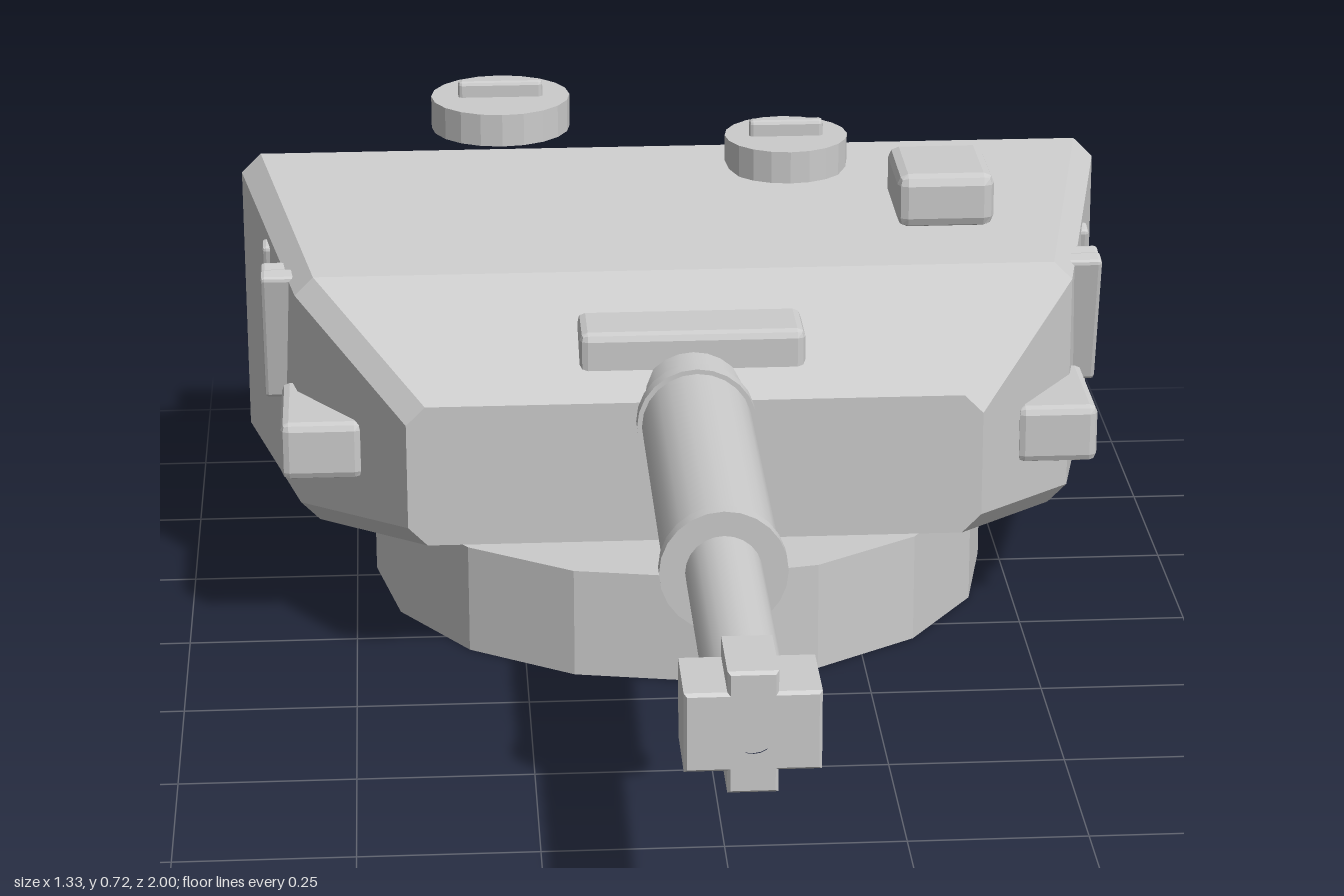
import * as THREE from 'three';
import { RoundedBoxGeometry } from 'three/addons/geometries/RoundedBoxGeometry.js';

const flat = new THREE.MeshStandardMaterial({ color: 0xcccccc, flatShading: true });
const smooth = new THREE.MeshStandardMaterial({ color: 0xcccccc });

// Chamfered octagonal cross-sections lofted from front to back
function loftHull(stations) {
  const pos = [], idx = [], n = 8;
  for (const [z, w, yb, yt, c] of stations) {
    const i = w - c;
    const ring = [[i, yt], [-i, yt], [-w, yt - c], [-w, yb + c], [-i, yb], [i, yb], [w, yb + c], [w, yt - c]];
    for (const [x, y] of ring) pos.push(x, y, z);
  }
  const last = (stations.length - 1) * n;
  for (let s = 0; s < last; s += n) {
    for (let j = 0; j < n; j++) {
      const k = (j + 1) % n;
      idx.push(s + j, s + n + j, s + n + k, s + j, s + n + k, s + k);
    }
  }
  for (let j = 1; j < n - 1; j++) idx.push(0, j, j + 1, last, last + j + 1, last + j);
  const g = new THREE.BufferGeometry();
  g.setAttribute('position', new THREE.Float32BufferAttribute(pos, 3));
  g.setIndex(idx);
  const out = g.toNonIndexed();
  out.computeVertexNormals();
  return out;
}

export function createModel() {
  const model = new THREE.Group();

  function add(name, geometry, x, y, z, material = flat) {
    const mesh = new THREE.Mesh(geometry, material);
    mesh.name = name;
    mesh.position.set(x, y, z);
    model.add(mesh);
    return mesh;
  }
  const block = (name, w, h, d, x, y, z, bevel = 0.012) =>
    add(name, new RoundedBoxGeometry(w, h, d, 1, bevel), x, y, z);

  // Turret ring and armoured shell
  add('turretRing', new THREE.CylinderGeometry(0.47, 0.47, 0.165, 16), 0, 0.0825, -0.53);
  add('turretShell', loftHull([
    // z, half width, bottom, top, chamfer
    [-0.11, 0.42, 0.205, 0.42, 0.028],
    [-0.35, 0.58, 0.155, 0.54, 0.028],
    [-0.755, 0.665, 0.132, 0.606, 0.03],
    [-0.95, 0.525, 0.158, 0.525, 0.03],
    [-0.997, 0.49, 0.165, 0.503, 0.03],
  ]), 0, 0, 0);
  block('rearStowageBox', 1.14, 0.265, 0.118, 0, 0.388, -0.932, 0.015);

  // Gun: stepped tube of revolution along z
  const gunY = 0.395;
  const profile = [
    [0, -0.2], [0.08, -0.2], [0.08, -0.1], [0.087, -0.1], [0.087, -0.075], [0.08, -0.075],
    [0.08, 0.455], [0.087, 0.455], [0.087, 0.478], [0.052, 0.478], [0.052, 0.9], [0, 0.9],
  ];
  for (let i = 0; i < profile.length - 1; i++) {
    const pair = [profile[i], profile[i + 1]].map(([r, z]) => new THREE.Vector2(r, z));
    const part = add('gunBarrel', new THREE.LatheGeometry(pair, 24), 0, gunY, 0, smooth);
    part.rotation.x = Math.PI / 2;
  }

  // Cross-shaped muzzle brake with a bore
  const cross = new THREE.Shape();
  const outline = [
    [0.03, 0.08], [0.03, 0.052], [0.084, 0.052], [0.084, -0.05], [0.03, -0.05], [0.03, -0.08],
    [-0.03, -0.08], [-0.03, -0.05], [-0.084, -0.05], [-0.084, 0.052], [-0.03, 0.052], [-0.03, 0.08],
  ];
  cross.setFromPoints(outline.map(([x, y]) => new THREE.Vector2(x, y)));
  cross.holes.push(new THREE.Path().absarc(0, 0, 0.03, 0, Math.PI * 2, true));
  add('muzzleBrake', new THREE.ExtrudeGeometry(cross, {
    depth: 0.11, bevelEnabled: true, bevelThickness: 0.005, bevelSize: 0.004, bevelOffset: -0.002,
    bevelSegments: 1, curveSegments: 10,
  }), 0, gunY, 0.885);
  add('bore', new THREE.CircleGeometry(0.034, 20), 0, gunY, 0.985);

  // Roof fittings
  block('gunHoodBlock', 0.33, 0.075, 0.11, 0, 0.467, -0.223);
  block('sightBox', 0.145, 0.082, 0.168, 0.392, 0.627, -0.462, 0.016);
  for (const [x, y, z, r, handle] of [[-0.262, 0.645, -0.75, 0.107, 0.13], [0.178, 0.588, -0.702, 0.095, 0.114]]) {
    add('hatch', new THREE.CylinderGeometry(r, r, 0.05, 20), x, y + 0.025, z);
    block('hatchHandle', handle, 0.035, 0.022, x, y + 0.057, z, 0.006);
  }

  // Mirrored side fittings
  for (const s of [-1, 1]) {
    block('sideBox', 0.12, 0.088, 0.193, s * 0.544, 0.317, -0.303);
    for (const z of [-0.43, -0.462, -0.575]) {
      const bar = block('sideBar', 0.055, 0.212, 0.031, s * 0.604, 0.425, z, 0.006);
      bar.rotation.x = 0.23;
    }
  }
  return model;
}
